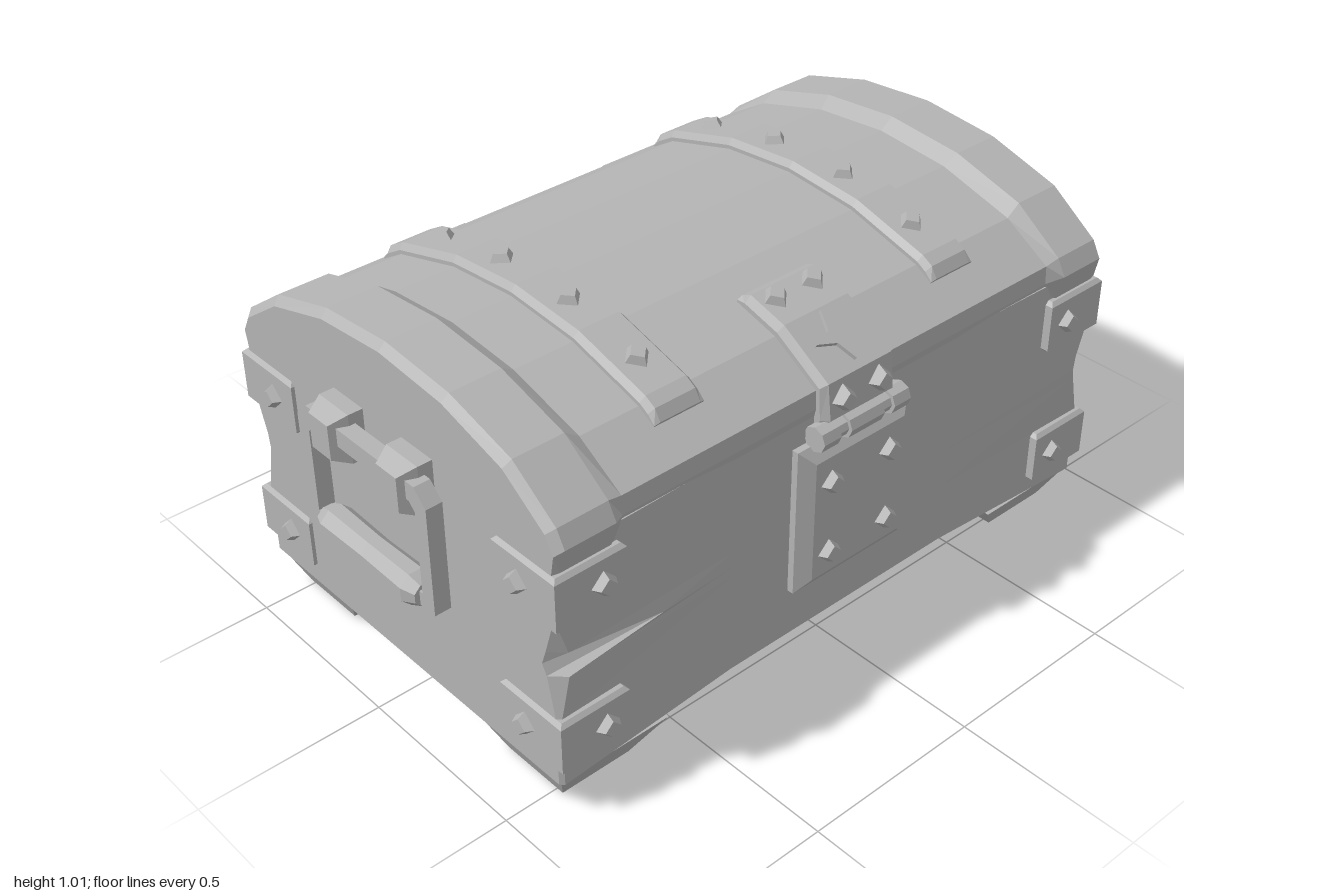
import * as THREE from 'three';

const iron = new THREE.MeshStandardMaterial({ color: 0xb4b4b4, flatShading: true });
iron.name = 'plainGrey';

// Joins closed rings (counter-clockwise seen from the last ring) and caps both ends
function loft(rings) {
  const pos = [];
  const tri = (a, b, c) => pos.push(...a, ...b, ...c);
  const n = rings[0].length;
  for (let k = 0; k < rings.length - 1; k++) {
    const a = rings[k], b = rings[k + 1];
    for (let i = 0; i < n; i++) {
      const j = (i + 1) % n;
      tri(a[i], a[j], b[j]);
      tri(a[i], b[j], b[i]);
    }
  }
  const first = rings[0], last = rings[rings.length - 1];
  const mid = r => [0, 1, 2].map(c => r.reduce((s, p) => s + p[c], 0) / n);
  for (let i = 0; i < n; i++) {
    const j = (i + 1) % n;
    tri(mid(first), first[j], first[i]);
    tri(mid(last), last[i], last[j]);
  }
  const g = new THREE.BufferGeometry();
  g.setAttribute('position', new THREE.Float32BufferAttribute(pos, 3));
  g.computeVertexNormals();
  return g;
}

function add(parent, name, geometry, x = 0, y = 0, z = 0) {
  const m = new THREE.Mesh(geometry, iron);
  m.name = name;
  m.position.set(x, y, z);
  parent.add(m);
  return m;
}

const zAxis = new THREE.Vector3(0, 0, 1);
const face = (m, n) => m.quaternion.setFromUnitVectors(zAxis, new THREE.Vector3(...n).normalize());

// Plate standing on z = 0 with a bevelled front
function slab(w, h, d, b) {
  const rect = (i, z) => [[-w / 2 + i, -h / 2 + i, z], [w / 2 - i, -h / 2 + i, z], [w / 2 - i, h / 2 - i, z], [-w / 2 + i, h / 2 - i, z]];
  return loft([rect(0, 0), rect(0, d * 0.5), rect(b, d)]);
}

// Diamond-headed stud pointing along n
const studShape = new THREE.CylinderGeometry(0.023, 0.038, 0.026, 4).rotateX(Math.PI / 2).translate(0, 0, 0.009);
const stud = (parent, p, n) => face(add(parent, 'stud', studShape, ...p), n);

// Lid profiles as [z, y], from front to back
const mirrored = half => [...half, ...half.slice(0, -1).reverse().map(([z, y]) => [-z, y])];
const capProfile = mirrored([[0.585, 0.71], [0.605, 0.78], [0.58, 0.825], [0.44, 0.925], [0.23, 0.985], [0, 1.005]]);
const rimProfile = mirrored([[0.58, 0.71], [0.59, 0.765], [0.565, 0.81], [0.43, 0.905], [0.225, 0.965], [0, 0.985]]);
const lidProfile = mirrored([[0.57, 0.73], [0.578, 0.765], [0.575, 0.815], [0.44, 0.897], [0.22, 0.958], [0, 0.977]]);

// Point on the lid at depth z, lifted along the surface normal
function onLid(z, lift) {
  const p = lidProfile;
  let i = 2;
  while (i < p.length - 4 && p[i + 1][0] > z) i++;
  const [z0, y0] = p[i], [z1, y1] = p[i + 1];
  const t = (z - z0) / (z1 - z0), len = Math.hypot(z1 - z0, y1 - y0);
  const n = [0, (z0 - z1) / len, (y1 - y0) / len];
  return { p: [z + n[2] * lift, y0 + (y1 - y0) * t + n[1] * lift], n };
}

// Flat strap with bevelled edges bent along a [z, y] path, front to back
function strap(path, w, thick) {
  return loft(path.map(([z, y], i) => {
    const a = path[Math.max(i - 1, 0)], b = path[Math.min(i + 1, path.length - 1)];
    const len = Math.hypot(b[0] - a[0], b[1] - a[1]);
    const nz = (b[1] - a[1]) / len, ny = (a[0] - b[0]) / len;
    const t = i === 0 || i === path.length - 1 ? thick * 0.4 : thick;
    const at = (x, l) => [x, y + ny * l, z + nz * l];
    return [at(-w, -0.03), at(-w, t * 0.4), at(-w + 0.014, t), at(w - 0.014, t), at(w, t * 0.4), at(w, -0.03)];
  }));
}

// Outline of the box at one height: chamfer c, optional nick at the front right corner
function bodyRing(y, c, inset = 0, lift = 0, nick = [c, c]) {
  const X = 0.9 - inset, Z = 0.583 - inset, M = Z - 0.01, m = 0.37;
  return [
    [-X + nick[0], y, Z], [-m, y + lift, M], [m, y + lift, M], [X - c, y, Z],
    [X, y, Z - c], [X, y, -Z + c],
    [X - c, y, -Z], [m, y + lift, -M], [-m, y + lift, -M], [-X + c, y, -Z],
    [-X, y, -Z + c], [-X, y, Z - nick[1]],
  ];
}

function makeHandle() {
  const g = new THREE.Group();
  g.name = 'handle';
  // Bail
  const s = new THREE.Shape([[-0.25, 0.42], [0.25, 0.42], [0.25, 0.72], [0.21, 0.76], [-0.21, 0.76], [-0.25, 0.72]].map(p => new THREE.Vector2(...p)));
  s.holes.push(new THREE.Path([[-0.207, 0.46], [-0.207, 0.69], [-0.187, 0.71], [0.187, 0.71], [0.207, 0.69], [0.207, 0.46]].map(p => new THREE.Vector2(...p))));
  add(g, 'handleBail', new THREE.ExtrudeGeometry(s, { depth: 0.045, bevelEnabled: false }).rotateY(Math.PI / 2), 0.923);
  // Grip
  const grip = [[0, -0.195], [0.032, -0.195], [0.048, -0.16], [0.044, 0], [0.048, 0.16], [0.032, 0.195], [0, 0.195]];
  add(g, 'handleGrip', new THREE.LatheGeometry(grip.map(p => new THREE.Vector2(...p)), 8, Math.PI / 8).rotateX(Math.PI / 2), 0.952, 0.443);
  // Brackets
  for (const s of [-1, 1]) face(add(g, 'handleBracket', slab(0.115, 0.135, 0.09, 0.02), 0.895, 0.722, s * 0.132), [1, 0, 0]);
  g.position.z = -0.015;
  return g;
}

export function createModel() {
  const chest = new THREE.Group();
  chest.name = 'chest';

  // Box with worn corners
  add(chest, 'body', loft([
    bodyRing(0.075, 0.01, 0.04, 0.035), bodyRing(0.1, 0.01, 0, 0.025), bodyRing(0.3, 0.01),
    bodyRing(0.41, 0.035), bodyRing(0.437, 0.04, 0, 0, [0.31, 0.05]), bodyRing(0.48, 0.035),
    bodyRing(0.56, 0.01), bodyRing(0.755, 0.01),
  ]));

  // Lid with raised end bands
  const lidRing = (x, profile) => [...profile].reverse().map(([z, y]) => [x, y, z]);
  add(chest, 'lid', loft([
    lidRing(-0.9, rimProfile), lidRing(-0.88, capProfile), lidRing(-0.74, capProfile), lidRing(-0.7, lidProfile),
    lidRing(0.7, lidProfile), lidRing(0.74, capProfile), lidRing(0.88, capProfile), lidRing(0.9, rimProfile),
  ]));

  for (const sx of [-1, 1]) {
    for (const sz of [-1, 1]) {
      // Tapered feet
      const foot = (y, x0, x1, z0, z1) => [[x0, y, z1], [x1, y, z1], [x1, y, z0], [x0, y, z0]];
      const ends = (a, b, s) => s > 0 ? [a, b] : [-b, -a];
      add(chest, 'foot', loft([
        foot(0, ...ends(0.65, 0.85, sx), ...ends(0.32, 0.52, sz)),
        foot(0.1, ...ends(0.57, 0.895, sx), ...ends(0.25, 0.575, sz)),
      ]));
      // Corner plates with studs
      for (const y of [0.225, 0.635]) {
        const plate = (h, i) => [[-0.1 + i, h, 0.108 - i], [0.1 - i, h, 0.108 - i], [0.1 - i, h, -0.108 + i], [-0.1 + i, h, -0.108 + i]];
        add(chest, 'cornerPlate', loft([plate(-0.075, 0.01), plate(-0.065, 0), plate(0.065, 0), plate(0.075, 0.01)]), sx * 0.81, y, sz * 0.494);
        stud(chest, [sx * 0.777, y, sz * 0.6], [0, 0, sz]);
        stud(chest, [sx * 0.908, y, sz * 0.472], [sx, 0, 0]);
      }
    }
    // Lid straps with studs
    const x = sx < 0 ? -0.46 : 0.432;
    const zs = [0.49, 0.465, 0.44, 0.22, 0, -0.22, -0.44, -0.49, -0.515];
    add(chest, 'lidStrap', strap(zs.map(z => onLid(z, 0).p), 0.073, 0.026), x);
    for (const z of [0.345, 0.115, -0.125, -0.355]) {
      const s = onLid(z, 0.024);
      stud(chest, [x, ...[s.p[1], s.p[0]]], s.n);
    }
    // Back hinges
    face(add(chest, 'backHinge', slab(0.21, 0.09, 0.06, 0.022), sx < 0 ? -0.33 : 0.352, 0.755, -0.57), [0, 0, -1]);
    // Side handles
    const handle = makeHandle();
    if (sx < 0) handle.rotation.y = Math.PI;
    chest.add(handle);
  }

  // Back bar with studs
  face(add(chest, 'backBar', slab(1.31, 0.17, 0.045, 0.025), 0, 0.44, -0.567), [0, 0, -1]);
  for (const x of [-0.56, -0.28, 0, 0.28, 0.56]) stud(chest, [x, 0.435, -0.611], [0, 0, -1]);

  // Lock plate
  add(chest, 'lockPlate', slab(0.37, 0.415, 0.052, 0.037), 0, 0.472, 0.565);
  for (const x of [-0.095, 0.1]) for (const y of [0.365, 0.57]) stud(chest, [x, y, 0.615], [0, 0, 1]);

  // Lock hinge
  const barrel = (name, r, w, x) => add(chest, name, new THREE.CylinderGeometry(r, r, w, 8).rotateZ(Math.PI / 2), x, 0.705, 0.602);
  barrel('lockHingePin', 0.024, 0.28, 0);
  for (const [x, w] of [[-0.117, 0.055], [0, 0.11], [0.117, 0.055]]) barrel('lockHingeKnuckle', 0.034, w, x);

  // Hasp bent over the lid edge, with studs and a star
  const hasp = [[0.578, 0.72], [0.578, 0.74], [0.575, 0.815], [0.44, 0.897], [0.335, 0.926], [0.312, 0.933]];
  add(chest, 'hasp', strap(hasp, 0.118, 0.034));
  for (const x of [-0.06, 0.06]) {
    stud(chest, [x, 0.785, 0.607], [0, 0, 1]);
    const s = onLid(0.372, 0.032);
    stud(chest, [x, s.p[1], s.p[0]], s.n);
  }
  const star = new THREE.Shape(Array.from({ length: 8 }, (_, i) => {
    const r = i % 2 ? 0.026 : 0.07, a = i * Math.PI / 4;
    return new THREE.Vector2(r * Math.cos(a), r * Math.sin(a));
  }));
  const s = onLid(0.505, 0.03);
  face(add(chest, 'star', new THREE.ExtrudeGeometry(star, { depth: 0.014, bevelEnabled: false }), 0, s.p[1], s.p[0]), s.n);

  return chest;
}
